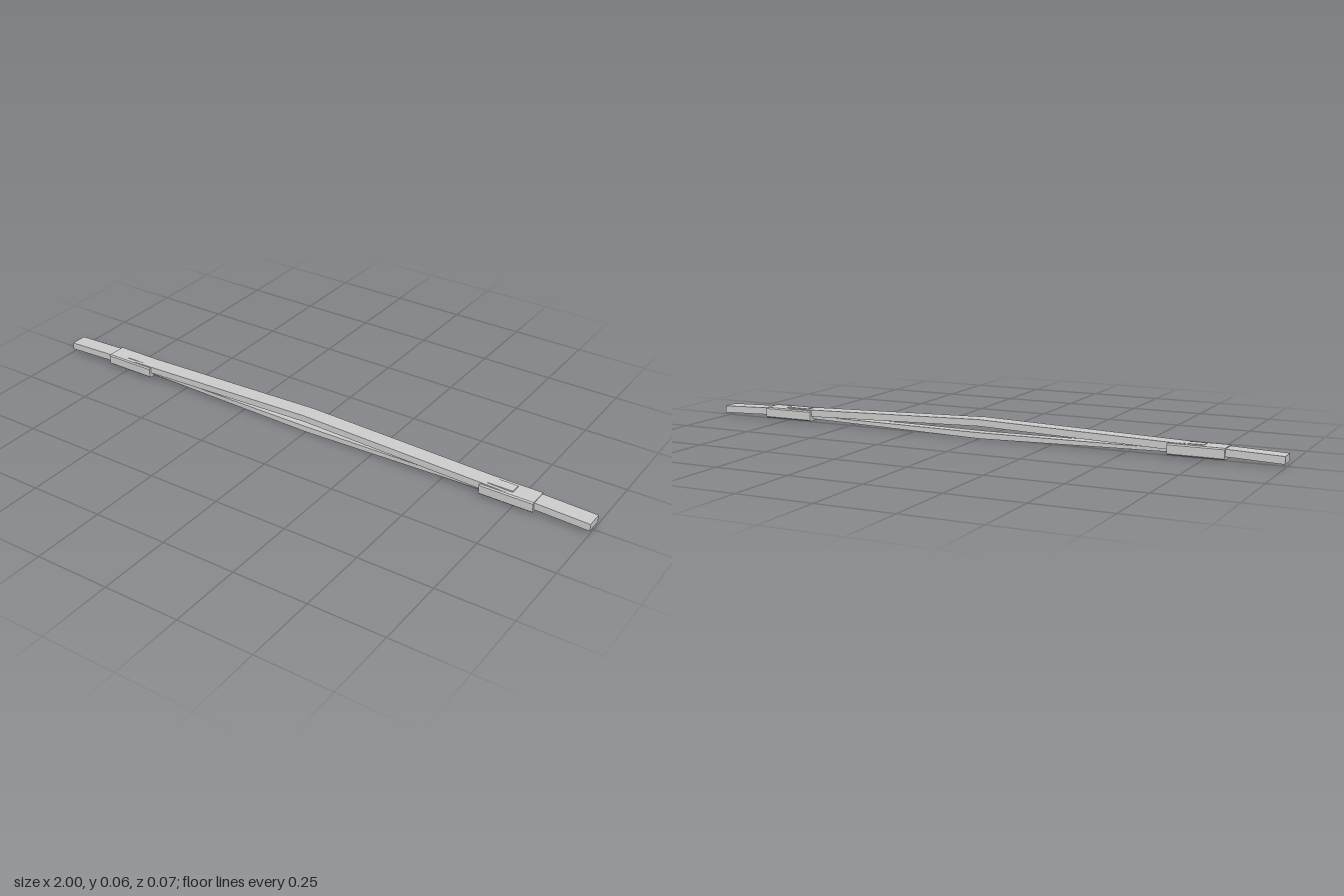
import * as THREE from 'three';

const material = new THREE.MeshStandardMaterial({ color: 0xcccccc, flatShading: true });

function addMesh(group, name, geometry) {
  const mesh = new THREE.Mesh(geometry, material);
  mesh.name = name;
  group.add(mesh);
  return mesh;
}

// Flat bar mirrored about x = 0; stations are [x, bottom, top] from the middle outwards
function bar(stations, width) {
  const half = stations.slice(1).reverse().map(([x, b, t]) => [-x, b, t]);
  const all = [...half, ...stations];
  const shape = new THREE.Shape([
    ...all.map(([x, b]) => new THREE.Vector2(x, b)),
    ...all.slice().reverse().map(([x, , t]) => new THREE.Vector2(x, t)),
  ]);
  return new THREE.ExtrudeGeometry(shape, { depth: width, bevelEnabled: false })
    .translate(0, 0, -width / 2);
}

// Sleeve with chamfered long edges, running along x
function sleeveGeometry(length, w, bottom, top, c) {
  const h = w / 2;
  const shape = new THREE.Shape([
    [-h + c, bottom], [h - c, bottom], [h, bottom + c], [h, top - c],
    [h - c, top], [-h + c, top], [-h, top - c], [-h, bottom + c],
  ].map(([x, y]) => new THREE.Vector2(x, y)));
  return new THREE.ExtrudeGeometry(shape, { depth: length, bevelEnabled: false })
    .translate(0, 0, -length / 2)
    .rotateY(Math.PI / 2);
}

export function createModel() {
  const model = new THREE.Group();
  model.name = 'bowedBar';

  // Wide upper bar, gently peaked in the middle
  addMesh(model, 'upperBar',
    bar([[0, 0.044, 0.066], [0.64, 0.025, 0.048], [1, 0.012, 0.036]], 0.057));

  // Narrow lower strip sagging away from the bar
  addMesh(model, 'lowerStrip',
    bar([[0, 0.001, 0.021], [0.64, 0.016, 0.026], [0.72, 0.018, 0.027]], 0.038));

  // Sleeves that clamp both members together
  for (const side of [-1, 1]) {
    const sleeve = addMesh(model, side < 0 ? 'rightSleeve' : 'leftSleeve',
      sleeveGeometry(0.18, 0.072, 0.009, 0.045, 0.004));
    sleeve.position.x = side * 0.73;
  }

  // Locking tabs lying on the sleeves
  const tabs = [['leftTab', 0.66, 0.745, 0.049], ['rightTab', -0.75, -0.66, 0.047]];
  for (const [name, x0, x1, top] of tabs) {
    const tab = addMesh(model, name, new THREE.BoxGeometry(x1 - x0, 0.02, 0.036));
    tab.position.set((x0 + x1) / 2, top - 0.01, 0);
  }

  return model;
}
